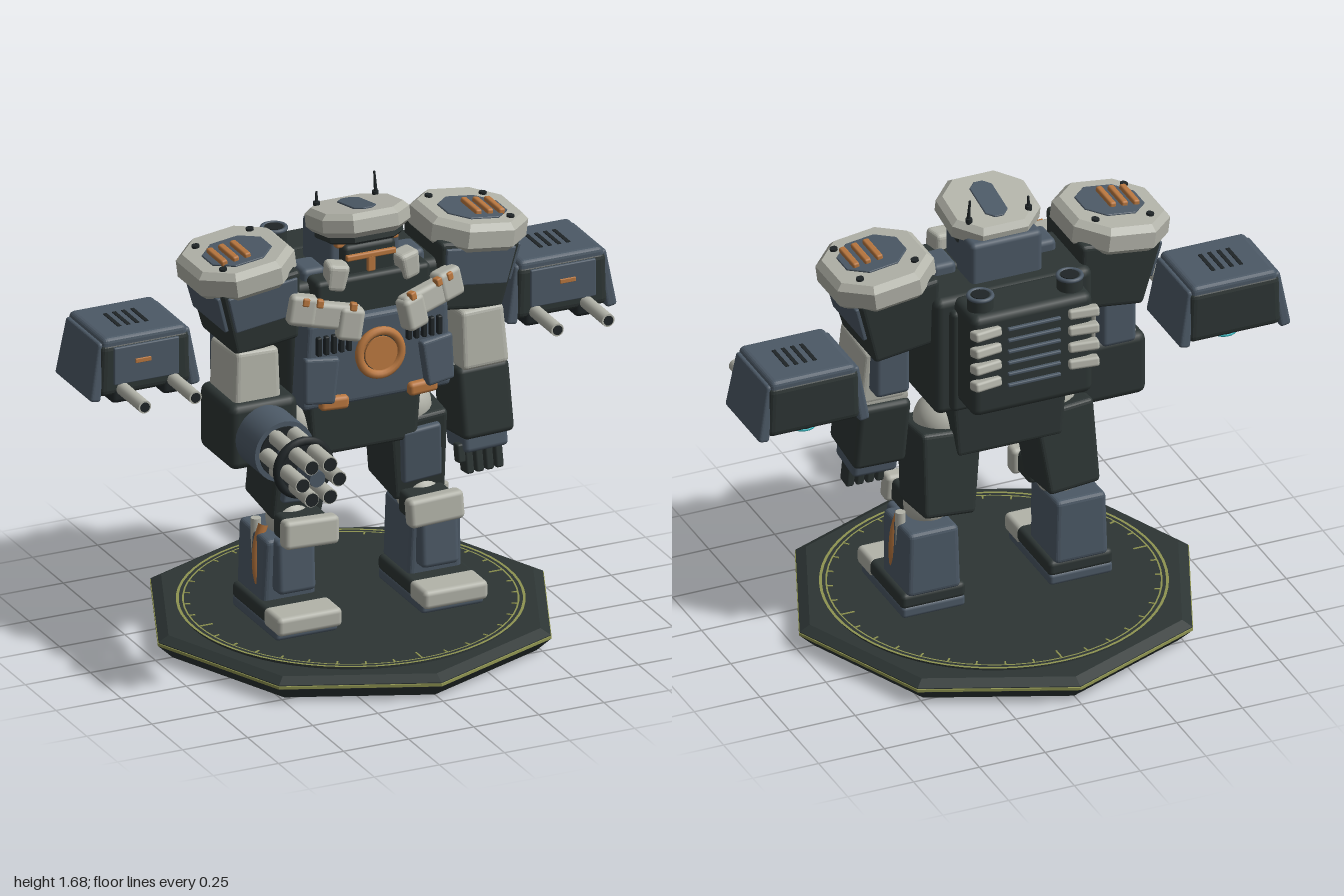
import * as THREE from 'three';
import { RoundedBoxGeometry } from 'three/addons/geometries/RoundedBoxGeometry.js';

const mat = (name, color) => Object.assign(new THREE.MeshStandardMaterial({ color }), { name });
const light = mat('pale armour', 0xb2b3a9), slate = mat('slate armour', 0x4c5966), dark = mat('dark frame', 0x2d3534),
  black = mat('gunmetal', 0x1f2527), orange = mat('copper', 0xb9773f), olive = mat('olive marking', 0x8e9350),
  cyan = mat('cyan glow', 0x30b8c0);

// Faceted normals
function flat(g) {
  const f = g.index ? g.toNonIndexed() : g;
  f.computeVertexNormals();
  return f;
}
// Box with softened edges
const box = (w, h, d, r = 0.018) => new RoundedBoxGeometry(w, h, d, 2, Math.min(r, w * 0.3, h * 0.3, d * 0.3));
// Box whose bottom is scaled in x and z relative to its top
function taperBox(w, h, d, kx, kz = 1, r = 0.018) {
  const g = box(w, h, d, r), p = g.attributes.position;
  for (let i = 0; i < p.count; i++) {
    const t = 0.5 - p.getY(i) / h;
    p.setX(i, p.getX(i) * (1 + (kx - 1) * t));
    p.setZ(i, p.getZ(i) * (1 + (kz - 1) * t));
  }
  return flat(g);
}
// Horizontal eight-sided plate with bevelled rims
function octPlate(w, h, d, cut, b) {
  const x = w / 2 - b, y = d / 2 - b, s = new THREE.Shape();
  [[x - cut, -y], [x, cut - y], [x, y - cut], [x - cut, y], [cut - x, y], [-x, y - cut], [-x, cut - y], [cut - x, -y]]
    .forEach(([a, c], i) => (i ? s.lineTo(a, c) : s.moveTo(a, c)));
  const g = new THREE.ExtrudeGeometry(s, { depth: h - 2 * b, bevelSize: b, bevelThickness: b, bevelSegments: 1 });
  return g.rotateX(-Math.PI / 2).center();
}
const rod = (r, len, n = 20, r2 = r) => new THREE.CylinderGeometry(r, r2, len, n);
const rodZ = (r, len, n = 20) => rod(r, len, n).rotateX(Math.PI / 2);

function add(parent, name, geo, m, pos = [0, 0, 0], rot = [0, 0, 0]) {
  const o = new THREE.Mesh(geo, m);
  o.name = name;
  o.position.set(...pos);
  o.rotation.set(...rot);
  parent.add(o);
  return o;
}
function group(parent, name, pos = [0, 0, 0], rot = [0, 0, 0]) {
  const g = new THREE.Group();
  g.name = name;
  g.position.set(...pos);
  g.rotation.set(...rot);
  parent.add(g);
  return g;
}

function buildBase(root) {
  const base = group(root, 'displayBase');
  const lathe = (pts, n) => flat(new THREE.LatheGeometry(pts.map(([x, y]) => new THREE.Vector2(x, y)), n));
  add(base, 'plinth', lathe([[0, 0], [0.685, 0], [0.738, 0.05], [0.738, 0.066], [0.7, 0.086], [0, 0.09]], 8), dark);
  add(base, 'edgeTrim', lathe([[0.735, 0.05], [0.741, 0.052], [0.741, 0.062], [0.735, 0.064]], 8), olive);
  add(base, 'deck', rod(0.6, 0.014, 64), dark, [0, 0.09, 0]);
  [[0.598, 0.608], [0.58, 0.586]].forEach(([a, b]) =>
    add(base, 'deckRing', new THREE.RingGeometry(a, b, 64).rotateX(-Math.PI / 2), olive, [0, 0.0985, 0]));
  for (let i = 0; i < 36; i++) {
    const a = (i / 36) * Math.PI * 2, len = i % 9 ? 0.02 : 0.05;
    add(base, 'deckTick', new THREE.BoxGeometry(0.006, 0.004, len), olive,
      [Math.sin(a) * (0.58 - len / 2), 0.0975, Math.cos(a) * (0.58 - len / 2)], [0, a, 0]);
  }
}

function buildLeg(root, s) {
  const leg = group(root, s > 0 ? 'leftLeg' : 'rightLeg');
  add(leg, 'sole', box(0.24, 0.045, 0.36), slate, [s * 0.28, 0.12, 0.06]);
  add(leg, 'foot', box(0.245, 0.06, 0.37), dark, [s * 0.28, 0.162, 0.065]);
  add(leg, 'toeCap', box(0.248, 0.07, 0.13), light, [s * 0.28, 0.158, 0.205]);
  add(leg, 'shin', taperBox(0.19, 0.25, 0.23, 1.08, 0.95), slate, [s * 0.28, 0.3, -0.01], [0.03, 0, 0]);
  add(leg, 'shinGuard', box(0.145, 0.2, 0.07), slate, [s * 0.275, 0.325, 0.115], [-0.06, 0, 0]);
  add(leg, 'kneeBall', new THREE.SphereGeometry(0.08, 24, 16), light, [s * 0.25, 0.46, 0.02]);
  add(leg, 'kneeBlock', box(0.17, 0.09, 0.12), dark, [s * 0.24, 0.46, 0.11]);
  add(leg, 'kneeGuard', box(0.21, 0.105, 0.06), light, [s * 0.24, 0.462, 0.173], [-0.08, 0, s * 0.04]);
  add(leg, 'piston', rod(0.018, 0.13, 12), light, [s * 0.36, 0.4, -0.01]);
  const path = new THREE.CatmullRomCurve3([[0.345, 0.45, 0.02], [0.366, 0.38, 0.02], [0.37, 0.28, 0.025], [0.355, 0.19, 0.04]]
    .map(([x, y, z]) => new THREE.Vector3(s * x, y, z)));
  add(leg, 'hose', new THREE.TubeGeometry(path, 16, 0.018, 10), orange);
  add(leg, 'thigh', taperBox(0.23, 0.32, 0.23, 0.85), dark, [s * 0.225, 0.64, -0.03], [0.13, 0, s * 0.08]);
  add(leg, 'thighPlate', box(0.15, 0.21, 0.04), slate, [s * 0.225, 0.645, 0.09], [0.13, 0, s * 0.08]);
  add(leg, 'hipBall', new THREE.SphereGeometry(0.1, 24, 16), light, [s * 0.2, 0.8, 0]);
}

function buildTorso(root) {
  const t = group(root, 'torso');
  add(t, 'pelvis', taperBox(0.44, 0.22, 0.26, 0.92), dark, [0, 0.82, -0.01]);
  add(t, 'core', box(0.6, 0.46, 0.31, 0.03), dark, [0, 1.15, -0.025]);
  add(t, 'chest', taperBox(0.54, 0.33, 0.2, 1.06, 0.9), slate, [0, 1.1, 0.125]);
  add(t, 'upperChest', box(0.44, 0.2, 0.18), dark, [0, 1.3, 0.1]);
  add(t, 'reactorRing', new THREE.TorusGeometry(0.08, 0.016, 10, 32), orange, [0, 1.12, 0.24], [-0.06, 0, 0]);
  add(t, 'reactorCap', rodZ(0.062, 0.03, 32), orange, [0, 1.12, 0.235], [-0.06, 0, 0]);
  add(t, 'reactorSeat', rodZ(0.08, 0.03, 32), dark, [0, 1.12, 0.225]);
  for (const s of [-1, 1]) {
    add(t, 'flankPlate', taperBox(0.13, 0.17, 0.04, 0.85), slate, [s * 0.225, 1.05, 0.225], [-0.06, s * 0.15, s * 0.08]);
    add(t, 'copperLatch', box(0.11, 0.05, 0.05), orange, [s * 0.17, 0.955, 0.215], [0, 0, s * 0.06]);
    for (let i = 0; i < 5; i++)
      add(t, 'chestVent', box(0.018, 0.07, 0.03, 0.005), black, [s * (0.115 + i * 0.029), 1.18, 0.225]);
    // Angled collar armour sweeping back from the centre
    const c = group(t, 'collar', [s * 0.2, 1.29, 0.215], [-0.12, s * 0.25, s * 0.2]);
    add(c, 'collarPlate', box(0.25, 0.095, 0.06), light);
    add(c, 'collarTip', box(0.09, 0.12, 0.07), light, [s * -0.09, -0.02, 0.005]);
    add(c, 'collarWing', box(0.1, 0.11, 0.07), light, [s * 0.085, 0.01, 0]);
    [-0.09, 0.03, 0.08].forEach(x => add(c, 'collarStud', box(0.025, 0.03, 0.03, 0.006), orange, [s * x, 0.045, 0.025]));
    add(t, 'neckGuard', box(0.09, 0.07, 0.12), slate, [s * 0.19, 1.385, 0.05]);
  }
  // Backpack with exhaust stacks and radiator pipes
  const b = group(t, 'backpack');
  add(b, 'packShell', box(0.46, 0.4, 0.19, 0.03), dark, [0, 1.18, -0.245]);
  add(b, 'packMount', box(0.5, 0.4, 0.12), dark, [0, 1.14, -0.15]);
  for (let i = 0; i < 6; i++) add(b, 'packSlat', box(0.2, 0.012, 0.02, 0.004), slate, [0, 1.09 + i * 0.045, -0.342]);
  for (const s of [-1, 1]) {
    add(b, 'exhaustStack', rod(0.046, 0.07, 24), dark, [s * 0.17, 1.395, -0.265]);
    add(b, 'exhaustRim', new THREE.TorusGeometry(0.042, 0.008, 8, 24), slate, [s * 0.17, 1.427, -0.265], [Math.PI / 2, 0, 0]);
    add(b, 'exhaustMouth', rod(0.032, 0.004, 20), black, [s * 0.17, 1.431, -0.265]);
    for (let i = 0; i < 4; i++)
      add(b, 'radiatorPipe', box(0.11, 0.036, 0.05, 0.01), light, [s * 0.185, 1.12 + i * 0.067, -0.347], [0.2, s * 0.2, 0]);
  }
}

function buildHead(root) {
  const h = group(root, 'head');
  add(h, 'skull', box(0.27, 0.19, 0.23), slate, [0, 1.44, 0.0]);
  add(h, 'face', box(0.2, 0.15, 0.06), dark, [0, 1.43, 0.13]);
  add(h, 'visor', box(0.24, 0.03, 0.16, 0.008), orange, [0, 1.5, 0.06], [-0.1, 0, 0]);
  add(h, 'browBar', box(0.19, 0.022, 0.02, 0.006), orange, [0, 1.462, 0.163]);
  add(h, 'noseBar', box(0.03, 0.06, 0.02, 0.006), orange, [0, 1.43, 0.163]);
  const cap = group(h, 'helmet', [0, 1.565, 0.055], [-0.2, 0, 0]);
  add(cap, 'helmetShell', octPlate(0.335, 0.085, 0.31, 0.07, 0.02), light);
  add(cap, 'helmetBrim', octPlate(0.28, 0.04, 0.26, 0.06, 0.008), dark, [0, -0.05, 0]);
  add(cap, 'helmetInset', octPlate(0.085, 0.008, 0.19, 0.025, 0.002), slate, [0, 0.044, 0]);
  for (const s of [-1, 1]) {
    add(h, 'cheekGuard', taperBox(0.085, 0.1, 0.08, 0.8), light, [s * 0.135, 1.405, 0.16], [0, s * 0.2, s * 0.15]);
    const len = s > 0 ? 0.1 : 0.065;
    add(h, 'antenna', rod(0.004, len, 8, 0.008), black, [s * 0.113, 1.575 + len / 2, -0.04], [-0.08, 0, s * 0.04]);
    add(h, 'antennaFoot', rod(0.012, 0.025, 12), black, [s * 0.113, 1.59, -0.04]);
  }
}

function buildShoulder(root, s) {
  const g = group(root, s > 0 ? 'leftShoulder' : 'rightShoulder', [s * 0.445, 1.45, 0.01], [0, 0, s * -0.13]);
  add(g, 'shoulderPad', octPlate(0.37, 0.105, 0.385, 0.085, 0.022), light);
  add(g, 'shoulderBlock', taperBox(0.31, 0.26, 0.32, 0.78, 0.9), dark, [s * -0.02, -0.15, 0]);
  add(g, 'shoulderFront', taperBox(0.27, 0.14, 0.02, 0.88), slate, [s * -0.02, -0.11, 0.155], [0.05, 0, 0]);
  add(g, 'shoulderSide', taperBox(0.02, 0.14, 0.28, 1, 0.94), slate, [s * 0.128, -0.11, 0], [0, 0, s * -0.13]);
  add(g, 'padInset', octPlate(0.23, 0.008, 0.21, 0.06, 0.002), slate, [0, 0.054, 0.02]);
  [0, 0.045, 0.09].forEach(x => add(g, 'padBar', box(0.024, 0.024, 0.13, 0.007), orange, [s * (x - 0.01), 0.062, 0.03]));
  [[0.1, -0.105], [0.1, 0.12], [-0.11, -0.105]].forEach(([x, z]) => add(g, 'padBolt', rod(0.014, 0.012, 12), black, [s * x, 0.055, z]));
}

function buildArms(root) {
  for (const s of [-1, 1]) {
    const a = group(root, s > 0 ? 'leftUpperArm' : 'rightUpperArm');
    add(a, 'upperArm', taperBox(0.165, 0.22, 0.22, 1.1), light, [s * 0.435, 1.06, 0.06], [-0.08, 0, s * 0.03]);
    add(a, 'armCore', box(0.13, 0.2, 0.2), slate, [s * 0.43, 1.1, -0.01]);
    add(a, 'elbow', rod(0.07, 0.17, 24).rotateZ(Math.PI / 2), light, [s * 0.43, 0.95, 0.03]);
  }
  const l = group(root, 'leftForearm', [0.44, 0.82, 0.066], [-0.13, 0, 0.03]);
  add(l, 'forearm', box(0.2, 0.265, 0.225, 0.022), dark);
  add(l, 'wrist', box(0.17, 0.07, 0.16), slate, [0, -0.155, 0]);
  for (let i = 0; i < 4; i++) add(l, 'finger', box(0.03, 0.1, 0.06, 0.008), dark, [-0.055 + i * 0.038, -0.225, 0.015]);
  add(l, 'thumb', box(0.03, 0.07, 0.04, 0.008), dark, [-0.09, -0.19, 0.04]);
  // Rotary cannon forearm
  const r = group(root, 'rotaryCannon', [-0.425, 0.87, 0]);
  add(r, 'cannonHousing', box(0.26, 0.245, 0.27, 0.03), dark, [0, 0.005, 0.07]);
  add(r, 'drum', rodZ(0.113, 0.16, 32), slate, [0, 0, 0.28]);
  add(r, 'drumFace', rodZ(0.095, 0.01, 32), black, [0, 0, 0.361]);
  add(r, 'barrelClamp', new THREE.TorusGeometry(0.1, 0.016, 10, 32), black, [0, 0, 0.515]);
  add(r, 'clampPlate', rodZ(0.1, 0.02, 32), black, [0, 0, 0.515]);
  add(r, 'spindle', rodZ(0.03, 0.28, 16), slate, [0, 0, 0.49]);
  for (let i = 0; i < 6; i++) {
    const t = (i / 6) * Math.PI * 2, x = Math.cos(t) * 0.07, y = Math.sin(t) * 0.07;
    add(r, 'barrel', rodZ(0.028, 0.3), light, [x, y, 0.508]);
    add(r, 'muzzle', rodZ(0.024, 0.004), black, [x, y, 0.66]);
  }
}

function buildPod(root, s) {
  const p = group(root, s > 0 ? 'leftWeaponPod' : 'rightWeaponPod', [s * 0.8, 1.14, -0.12]);
  add(p, 'podBody', taperBox(0.34, 0.2, 0.3, 1.05, 1, 0.025), dark, [0, 0, 0]);
  add(p, 'podRoof', taperBox(0.32, 0.06, 0.29, 1.05), slate, [0, 0.09, 0]);
  for (const k of [-1, 1])
    add(p, 'podSkirt', taperBox(0.035, 0.215, 0.27, 1.2, 1.1), slate, [k * 0.175, -0.005, 0], [0, 0, k * 0.16]);
  add(p, 'podFace', box(0.25, 0.14, 0.015, 0.005), slate, [0, 0.015, 0.15]);
  add(p, 'podMark', box(0.06, 0.016, 0.008, 0.002), orange, [s * 0.015, 0.025, 0.159]);
  for (let i = 0; i < 4; i++) add(p, 'podSlit', new THREE.BoxGeometry(0.014, 0.006, 0.12), black, [-0.05 + i * 0.035 + s * 0.01, 0.12, 0]);
  for (const x of [-0.105, 0.09]) {
    add(p, 'podBarrel', rodZ(0.024, 0.24), light, [s * x, -0.075, 0.21]);
    add(p, 'podMuzzle', rodZ(0.018, 0.004, 16), black, [s * x, -0.075, 0.331]);
    add(p, 'barrelSleeve', box(0.08, 0.07, 0.12), black, [s * x, -0.095, 0.09]);
  }
  add(p, 'thruster', rod(0.055, 0.05, 24, 0.045), dark, [0, -0.11, -0.04]);
  add(p, 'thrusterGlow', new THREE.TorusGeometry(0.042, 0.006, 8, 24), cyan, [0, -0.136, -0.04], [Math.PI / 2, 0, 0]);
}

export function createModel() {
  const root = new THREE.Group();
  root.name = 'armouredWalker';
  buildBase(root);
  buildTorso(root);
  buildHead(root);
  buildArms(root);
  for (const s of [-1, 1]) {
    buildLeg(root, s);
    buildShoulder(root, s);
    buildPod(root, s);
  }
  return root;
}
